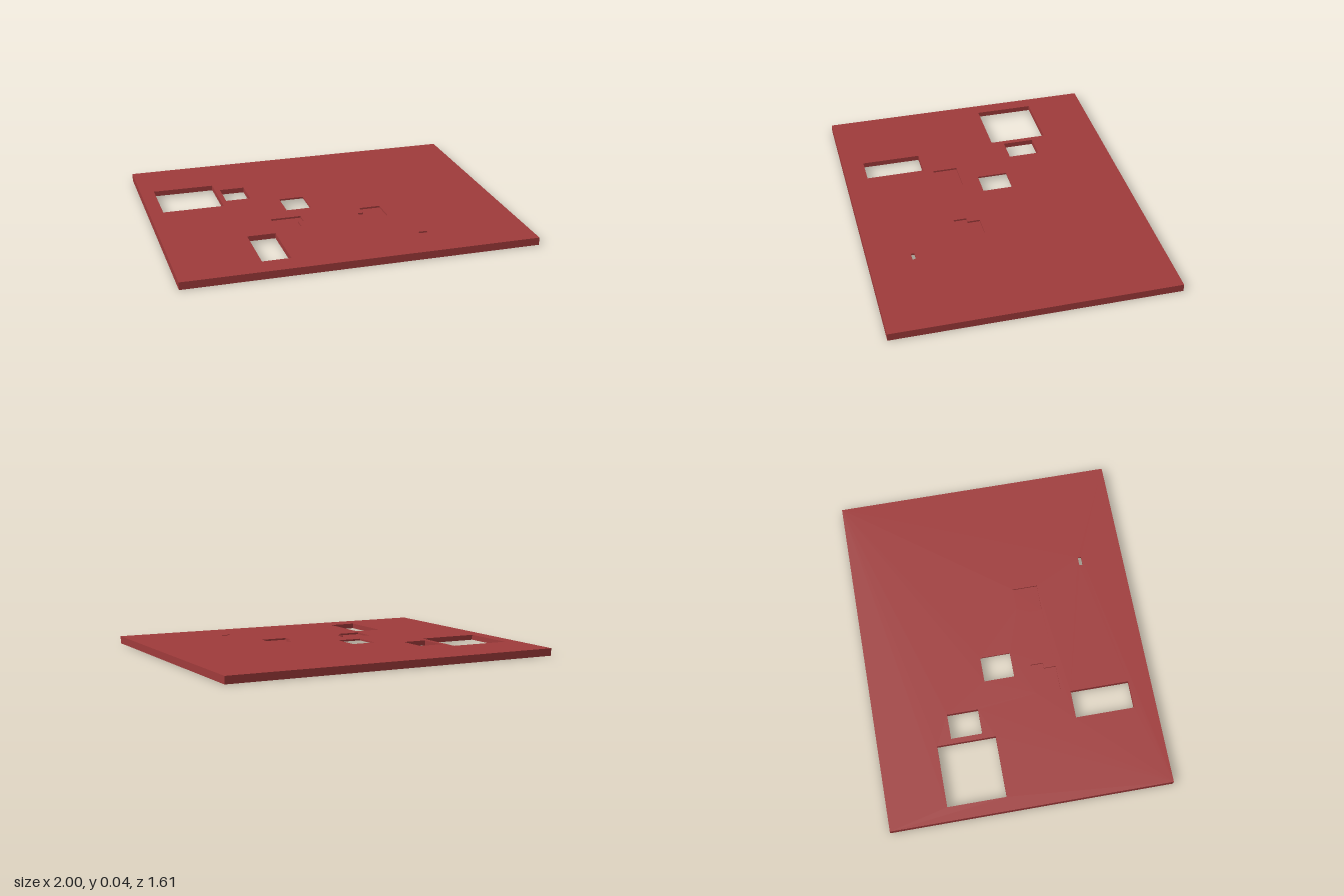
import * as THREE from 'three';

const TOP = 0.043, W = 1, D = 0.805;

// Corners of a rectangle on the panel, as [x, z]
const rect = (x0, z0, x1, z1) => [[x0, z0], [x1, z0], [x1, z1], [x0, z1]];

// Flat sheet at height y, facing up, with optional cut-outs
function sheet(outline, holes, y) {
  const toPoints = (pts) => pts.map(([x, z]) => new THREE.Vector2(x, -z));
  const shape = new THREE.Shape(toPoints(outline));
  for (const h of holes) shape.holes.push(new THREE.Path(toPoints(h)));
  const geo = new THREE.ShapeGeometry(shape);
  geo.rotateX(-Math.PI / 2);
  geo.translate(0, y, 0);
  return geo;
}

// Vertical walls following a closed outline
function walls(outline, y0, y1) {
  const pos = [];
  outline.forEach(([ax, az], i) => {
    const [bx, bz] = outline[(i + 1) % outline.length];
    pos.push(ax, y0, az, bx, y1, bz, bx, y0, bz, ax, y0, az, ax, y1, az, bx, y1, bz);
  });
  const geo = new THREE.BufferGeometry();
  geo.setAttribute('position', new THREE.Float32BufferAttribute(pos, 3));
  geo.computeVertexNormals();
  return geo;
}

export function createModel() {
  const group = new THREE.Group();
  const red = new THREE.MeshStandardMaterial({ color: 0xa03b3b, side: THREE.DoubleSide });
  red.name = 'brick red';
  const add = (name, geo) => {
    const mesh = new THREE.Mesh(geo, red);
    mesh.name = name;
    group.add(mesh);
  };

  const border = rect(-W, -D, W, D);
  // Openings and the depth of their collars
  const openings = [
    ['largeOpening', rect(-0.92, -0.47, -0.565, -0.133), 0.03],
    ['smallOpening', rect(-0.535, -0.385, -0.39, -0.205), 0.03],
    ['middleOpening', rect(-0.23, -0.14, -0.085, 0.035), 0.01],
    ['longOpening', rect(-0.535, 0.338, -0.375, 0.678), 0.03],
    ['slot', rect(0.39, 0.543, 0.44, 0.563), 0.01],
  ];
  // Shallow notched pockets
  const pockets = [
    ['rightPocket', [[-0.352, 0.14], [-0.178, 0.14], [-0.178, 0.213], [-0.21, 0.213], [-0.21, 0.283], [-0.352, 0.283]]],
    ['leftPocket', [[0.182, 0.122], [0.305, 0.122], [0.305, 0.268], [0.15, 0.268], [0.15, 0.193], [0.182, 0.193]]],
  ];

  // Hollow panel: top sheet and outer skirt
  const cuts = [...openings, ...pockets].map(([, outline]) => outline);
  add('panelTop', sheet(border, cuts, TOP));
  add('outerSkirt', walls([...border].reverse(), 0, TOP));

  for (const [name, outline, depth] of openings) add(name + 'Collar', walls(outline, TOP - depth, TOP));
  for (const [name, outline] of pockets) {
    add(name + 'Walls', walls(outline, TOP - 0.01, TOP));
    add(name + 'Floor', sheet(outline, [], TOP - 0.01));
  }

  // Boss under the slot
  const boss = rect(0.34, 0.48, 0.486, 0.626);
  add('slotBossWalls', walls([...boss].reverse(), TOP - 0.01, TOP));
  add('slotBossFloor', sheet(boss, [openings[4][1]], TOP - 0.01));
  return group;
}
